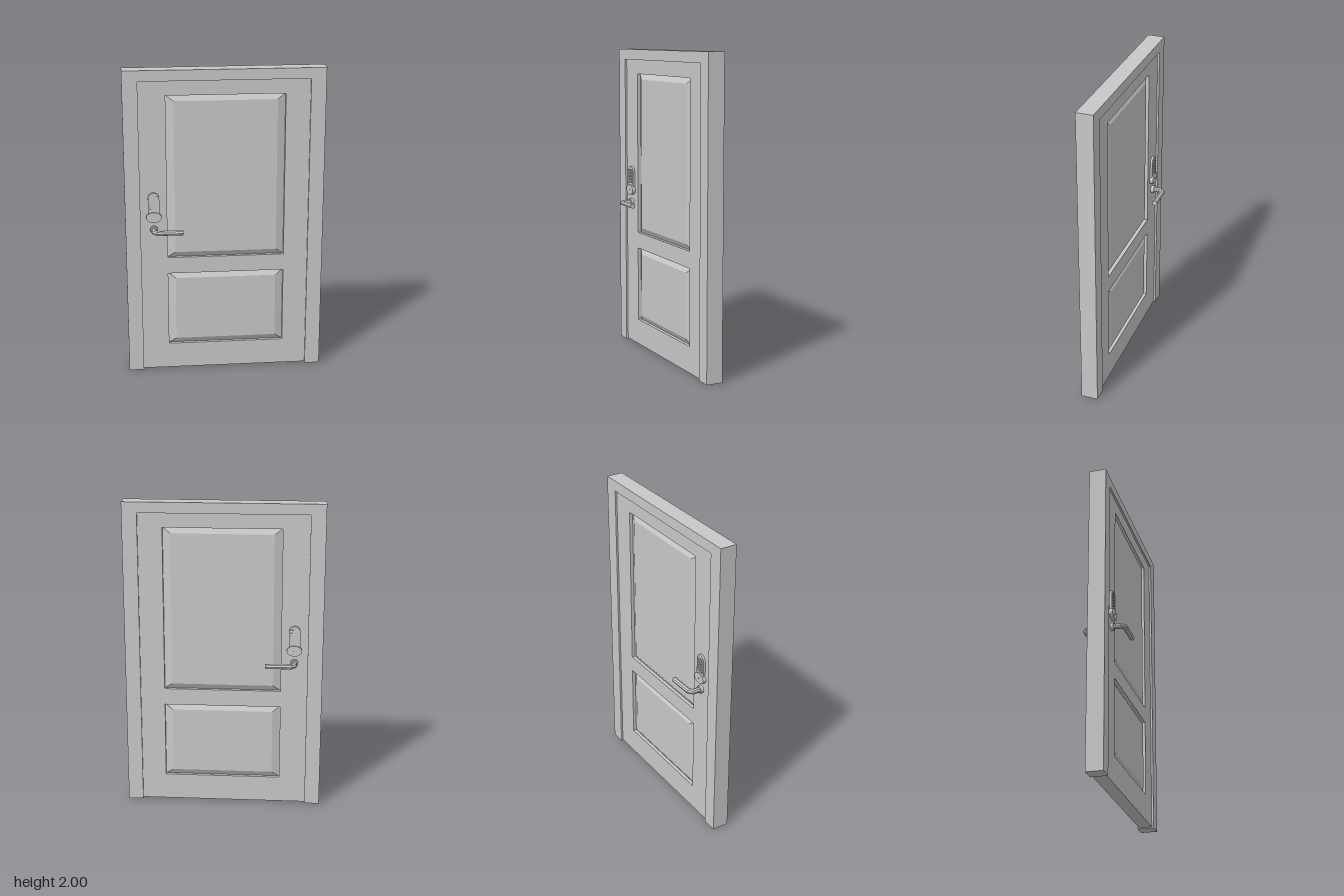
import * as THREE from 'three';

const grey = new THREE.MeshStandardMaterial({ color: 0xc8c8c8 });
grey.name = 'paintedGrey';

const LEAF = 0.042; // half thickness of the door leaf
const GROOVE = 0.02; // half thickness at the panel grooves
const FRAME = 0.054; // half thickness of the frame

function add(parent, name, geometry, x = 0, y = 0, z = 0) {
  const mesh = new THREE.Mesh(geometry, grey);
  mesh.name = name;
  mesh.position.set(x, y, z);
  parent.add(mesh);
  return mesh;
}

function polygon(Type, points) {
  return new Type(points.map(([x, y]) => new THREE.Vector2(x, y)));
}

function rect(x0, y0, x1, y1) {
  return [[x0, y0], [x1, y0], [x1, y1], [x0, y1]];
}

// Extrudes a shape evenly about z = 0
function slab(shape, half, curveSegments = 12) {
  const geometry = new THREE.ExtrudeGeometry(shape, { depth: half * 2, bevelEnabled: false, curveSegments });
  return geometry.translate(0, 0, -half);
}

// Raised panel: sloping borders rise from the groove to the flat field on both sides
function panelGeometry(w, h) {
  const box = new THREE.BoxGeometry(w, h, 3, 1, 1, 3);
  const p = box.attributes.position;
  for (let i = 0; i < p.count; i++) {
    const z = p.getZ(i);
    const outer = Math.abs(z) > 1;
    if (outer) {
      p.setX(i, p.getX(i) - Math.sign(p.getX(i)) * 0.05);
      p.setY(i, p.getY(i) - Math.sign(p.getY(i)) * 0.036);
    }
    p.setZ(i, Math.sign(z) * (outer ? LEAF - 0.002 : GROOVE));
  }
  const flat = box.toNonIndexed();
  flat.computeVertexNormals();
  return flat;
}

// Eight-sided lever with mitred bends; s is the side of the door
function leverGeometry(s) {
  const path = [[0, 0.036], [0, 0.103], [0.021, 0.124], [0.182, 0.124]];
  const mitre = [[1, 0], [1, -0.414], [0.414, -1], [0, -1]];
  const tube = new THREE.CylinderGeometry(0.017, 0.017, 3, 8, 3);
  const p = tube.attributes.position;
  for (let i = 0; i < p.count; i++) {
    const k = Math.round(1.5 - p.getY(i));
    const a = p.getX(i);
    p.setXYZ(i, path[k][0] + a * mitre[k][0], s * p.getZ(i), s * (path[k][1] + a * mitre[k][1]));
  }
  const flat = tube.toNonIndexed();
  flat.computeVertexNormals();
  return flat;
}

// Disc facing along z, optionally squashed in height
function disc(r, depth, sides, squash = 1) {
  return new THREE.CylinderGeometry(r, r, depth, sides).rotateX(Math.PI / 2).scale(1, squash, 1);
}

function lockSet(s) {
  const set = new THREE.Group();
  set.name = s > 0 ? 'frontLockSet' : 'backLockSet';
  set.position.x = -0.452;

  // Lever handle and its rose
  add(set, 'lever', leverGeometry(s), 0, 0.976, 0);
  add(set, 'leverRose', disc(0.025, 0.024, 12), 0, 0.976, s * 0.05);

  // Keypad plate with rounded top
  const plate = new THREE.Shape();
  plate.moveTo(-0.036, 1.06);
  plate.lineTo(0.036, 1.06);
  plate.lineTo(0.036, 1.185);
  plate.absarc(0, 1.185, 0.036, 0, Math.PI, false);
  plate.closePath();
  add(set, 'keypadPlate', slab(plate, 0.007, 8), 0, 0, s * 0.049);

  // Two columns of keys
  for (let row = 0; row < 5; row++) {
    for (const x of [-0.016, 0.016]) {
      add(set, 'key', new THREE.BoxGeometry(0.02, 0.011, 0.008), x, 1.112 + row * 0.02, s * 0.057);
    }
  }

  // Oval turn knob with its small centre pin
  add(set, 'knob', disc(0.049, 0.024, 16, 0.7), 0, 1.06, s * 0.053);
  add(set, 'knobPin', disc(0.005, 0.004, 8), 0, 1.06, s * 0.066);
  return set;
}

export function createModel() {
  const door = new THREE.Group();
  door.name = 'door';

  // Frame: two posts and a head in one piece
  const frame = polygon(THREE.Shape, [
    [-0.633, 0], [-0.537, 0], [-0.537, 1.932], [0.537, 1.932],
    [0.537, 0], [0.633, 0], [0.633, 2], [-0.633, 2],
  ]);
  add(door, 'frame', slab(frame, FRAME));

  // Leaf with two panel openings
  const panels = [
    { name: 'upperPanel', y0: 0.78, y1: 1.84 },
    { name: 'lowerPanel', y0: 0.177, y1: 0.672 },
  ];
  const leaf = polygon(THREE.Shape, rect(-0.537, 0.006, 0.537, 1.932));
  for (const { y0, y1 } of panels) {
    leaf.holes.push(polygon(THREE.Path, rect(-0.367, y0, 0.382, y1)));
  }
  add(door, 'leaf', slab(leaf, LEAF));

  // Raised panels
  for (const { name, y0, y1 } of panels) {
    add(door, name, panelGeometry(0.749, y1 - y0), 0.0075, (y0 + y1) / 2, 0);
  }

  // Handles and keypads on both sides
  for (const s of [1, -1]) door.add(lockSet(s));
  return door;
}
